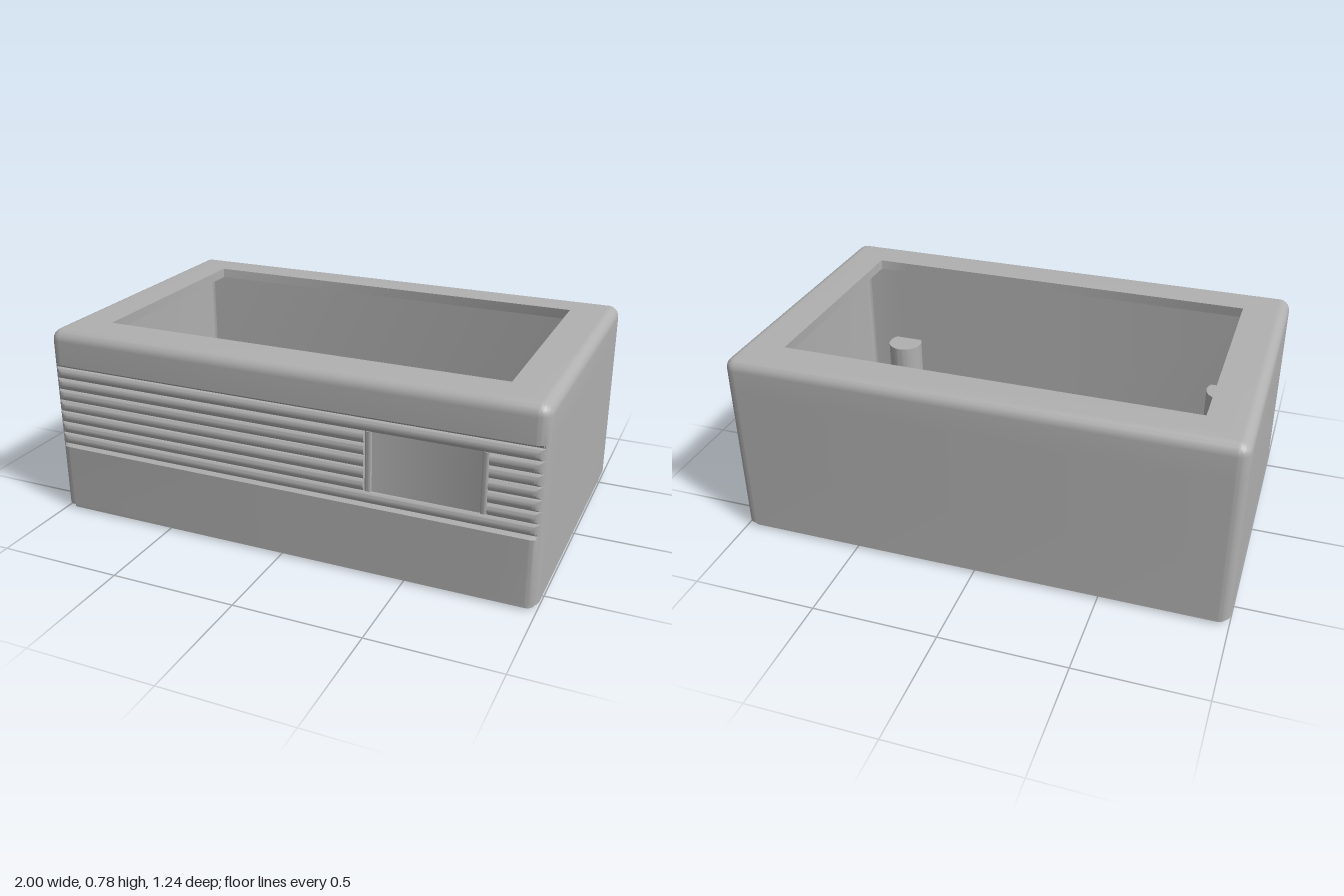
import * as THREE from 'three';
import { toCreasedNormals } from 'three/addons/utils/BufferGeometryUtils.js';

const HX = 1, HZ = 0.62, TOP = 0.78, R = 0.045, WALL = 0.035;
const DEPTH = 0.016;                      // groove depth
const G0 = 0.294, PITCH = 0.0472, RIDGES = 7;
const G1 = G0 + PITCH, G6 = G0 + 6 * PITCH, G7 = G0 + 7 * PITCH;
const BARS = [[0.342, 0.369], [0.775, 0.8]]; // upright beads beside the panel

// How far the front face is cut back at a point
function frontCut(x, y) {
  if (y < G0) return Math.max(0, DEPTH * (1 - (G0 - y) / 0.012));
  if (y > G7) return Math.max(0, DEPTH * (1 - (y - G7) / 0.012));
  if (y > G1 - 1e-6 && y < G6 + 1e-6 && x > 0.3415 && x < 0.8005) {
    for (const [a, b] of BARS) {
      const s = (2 * x - a - b) / (b - a);
      if (Math.abs(s) < 1) return DEPTH - 0.007 * Math.sqrt(1 - s * s);
    }
    return DEPTH;
  }
  const u = (y - G0) / PITCH;
  const s = 2 * (u - Math.floor(u)) - 1;
  return DEPTH * (1 - Math.sqrt(Math.max(0, 1 - s * s)));
}

// x stations along the front edge
const stations = [-0.955, 0, 0.3405];
for (const [a, b] of BARS) {
  for (let i = 0; i <= 8; i++) stations.push((a + b) / 2 - (b - a) / 2 * Math.cos(Math.PI * i / 8));
}
stations.push(0.8015, 0.955);

// Rounded-rectangle ring, counterclockwise from above
function ring(y, hx, hz, r, { cz = 0, cut = false } = {}) {
  const pts = stations.map(x => [x / 0.955 * (hx - r), y, hz]);
  const corners = [[1, 1, 0.5], [1, -1, 0], [-1, -1, -0.5], [-1, 1, -1]];
  for (const [sx, sz, start] of corners) {
    for (let i = 0; i <= 10; i++) {
      const t = Math.PI * (start - i / 20);
      pts.push([sx * (hx - r) + r * Math.cos(t), y, sz * (hz - r) + r * Math.sin(t)]);
    }
  }
  for (const p of pts) {
    if (cut && p[2] > 0) p[2] = Math.min(p[2], HZ - frontCut(p[0], y));
    p[2] += cz;
  }
  return pts;
}

function loft(rings) {
  const pos = [];
  for (let j = 0; j < rings.length - 1; j++) {
    const n = rings[j].length;
    for (let i = 0; i < n; i++) {
      const k = (i + 1) % n;
      const a = rings[j][i], b = rings[j][k], c = rings[j + 1][k], d = rings[j + 1][i];
      pos.push(...a, ...b, ...c, ...a, ...c, ...d);
    }
  }
  const g = new THREE.BufferGeometry();
  g.setAttribute('position', new THREE.Float32BufferAttribute(pos, 3));
  return toCreasedNormals(g, 0.6);
}

function caseGeometry() {
  const inset = (y, d, r) => ring(y, HX - d, HZ - d, r);
  // stepped lip at the bottom
  const rings = [inset(0, WALL, 0.02), inset(0, 0.016, 0.03), inset(0.02, 0.016, 0.03), inset(0.02, 0, R)];
  // outer wall with the ribbed band
  const heights = [G0 - 0.012];
  for (let k = 0; k < RIDGES; k++) {
    for (let i = k ? 1 : 0; i <= 12; i++) {
      heights.push(G0 + PITCH * (k + 0.5 - 0.5 * Math.cos(Math.PI * i / 12)));
    }
  }
  heights.push(G7 + 0.012);
  for (const y of heights) rings.push(ring(y, HX, HZ, R, { cut: true }));
  // rounded top edge
  for (let i = 0; i <= 8; i++) {
    const t = Math.PI / 2 * i / 8;
    const d = R * (1 - Math.cos(t));
    rings.push(inset(TOP - R + R * Math.sin(t), d, R - d + 0.001));
  }
  // top opening, ceiling and inner wall
  const opening = y => ring(y, 0.82, 0.45, 0.001, { cz: -0.004 });
  rings.push(opening(TOP), opening(TOP - 0.04), inset(TOP - 0.04, WALL, 0.02), inset(0, WALL, 0.02));
  return loft(rings);
}

// Screw post with one flat side against the wall
function postGeometry(height, hole) {
  const r = 0.077, a = Math.asin(0.047 / r);
  const shape = new THREE.Shape();
  shape.absarc(0, 0, r, Math.PI - a, Math.PI * 2 + a, false);
  shape.closePath();
  if (hole) shape.holes.push(new THREE.Path().absarc(0, 0, 0.018, 0, Math.PI * 2, true));
  const g = new THREE.ExtrudeGeometry(shape, { depth: height, bevelEnabled: false, curveSegments: 24 });
  g.rotateX(-Math.PI / 2);
  return toCreasedNormals(g, 0.6);
}

export function createModel() {
  const model = new THREE.Group();
  model.name = 'enclosure';
  const plastic = new THREE.MeshStandardMaterial({ color: 0xb0b0b0 });
  plastic.name = 'grey plastic';
  const add = (parent, geometry, name) => {
    const mesh = new THREE.Mesh(geometry, plastic);
    mesh.name = name;
    parent.add(mesh);
    return mesh;
  };

  add(model, caseGeometry(), 'caseShell');

  const foot = postGeometry(0.12, true), upper = postGeometry(0.2, false);
  for (const sx of [1, -1]) {
    for (const sz of [1, -1]) {
      const post = new THREE.Group();
      post.name = (sz > 0 ? 'front' : 'back') + (sx > 0 ? 'Left' : 'Right') + 'ScrewPost';
      add(post, foot, 'drilledFoot');
      add(post, upper, 'postTop').position.y = 0.12;
      post.position.set(sx * 0.77, 0.002, sz * 0.54);
      if (sz > 0) post.rotation.y = Math.PI;
      model.add(post);
    }
  }
  return model;
}
